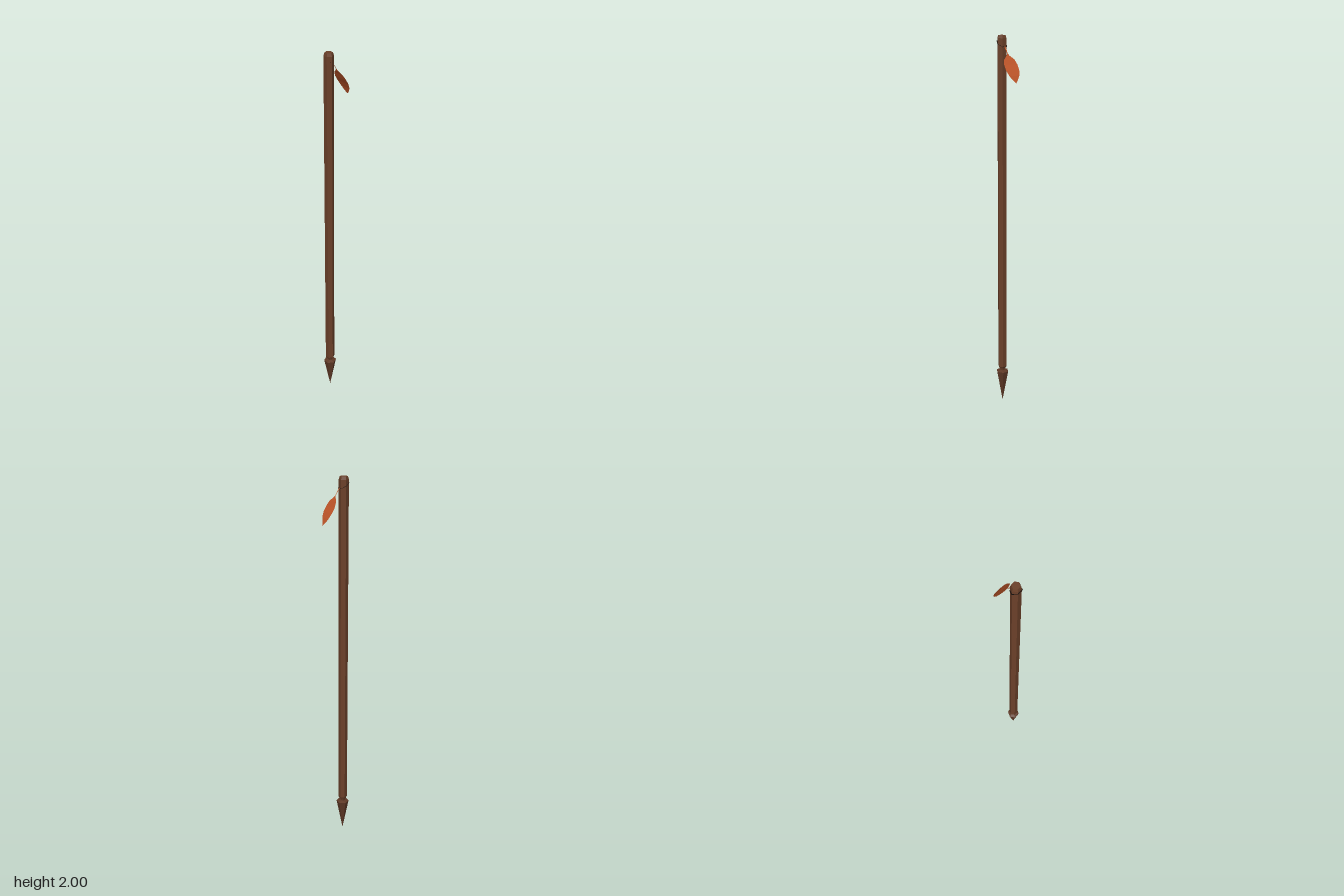
import * as THREE from 'three';

const AXIS_X = -0.043;

function makeMaterial(color) {
  return new THREE.MeshStandardMaterial({ color, flatShading: true, side: THREE.DoubleSide });
}

// Flat-faced strip across z, swept along rows of [x, y, half width]
function strip(rows) {
  const positions = [], index = [];
  rows.forEach(([x, y, w], i) => {
    positions.push(x, y, w, x, y, -w);
    if (i > 0) {
      const a = 2 * (i - 1);
      index.push(a, a + 2, a + 1, a + 1, a + 2, a + 3);
    }
  });
  const geometry = new THREE.BufferGeometry();
  geometry.setAttribute('position', new THREE.Float32BufferAttribute(positions, 3));
  geometry.setIndex(index);
  geometry.computeVertexNormals();
  return geometry;
}

export function createModel() {
  const model = new THREE.Group();
  const wood = makeMaterial(0x6b4029);
  const tipWood = makeMaterial(0x5e3825);
  const leafColor = makeMaterial(0xc4582a);
  const cord = makeMaterial(0x15100d);

  const add = (name, geometry, material, x = 0, y = 0) => {
    const mesh = new THREE.Mesh(geometry, material);
    mesh.name = name;
    mesh.position.set(x, y, 0);
    model.add(mesh);
    return mesh;
  };
  const hexLathe = (points) =>
    new THREE.LatheGeometry(points.map(([r, y]) => new THREE.Vector2(r, y)), 6);

  // Six-sided shaft with bevelled ends
  add('shaft', hexLathe([
    [0, 0.2], [0.019, 0.2], [0.0245, 0.21], [0.0245, 1.985], [0.02, 2], [0, 2],
  ]), wood, AXIS_X);

  // Narrow neck and pointed tip
  add('neck', new THREE.CylinderGeometry(0.013, 0.013, 0.04, 6, 1, true), tipWood, AXIS_X, 0.19);
  add('tip', hexLathe([[0, 0], [0.034, 0.18], [0.013, 0.186], [0, 0.186]]), tipWood, AXIS_X);

  // Thin tilted ring tied round the shaft, lower on the leaf side
  const ring = new THREE.RingGeometry(0.0235, 0.0285, 6, 1, Math.PI / 2);
  ring.rotateX(-Math.PI / 2);
  const p = ring.attributes.position;
  for (let i = 0; i < p.count; i++) p.setY(i, -0.6 * p.getX(i));
  ring.computeVertexNormals();
  add('cordRing', ring, cord, AXIS_X, 1.957);

  // Hanging stem and leaf
  add('leafStem', strip([[-0.02, 1.945, 0.003], [-0.01, 1.932, 0.003], [0.003, 1.91, 0.002]]), leafColor);
  add('leaf', strip([
    [0.002, 1.913, 0], [0.007, 1.9, 0.012], [0.016, 1.885, 0.031], [0.029, 1.86, 0.041],
    [0.044, 1.835, 0.041], [0.058, 1.808, 0.031], [0.066, 1.788, 0.016], [0.072, 1.772, 0],
  ]), leafColor);

  return model;
}
